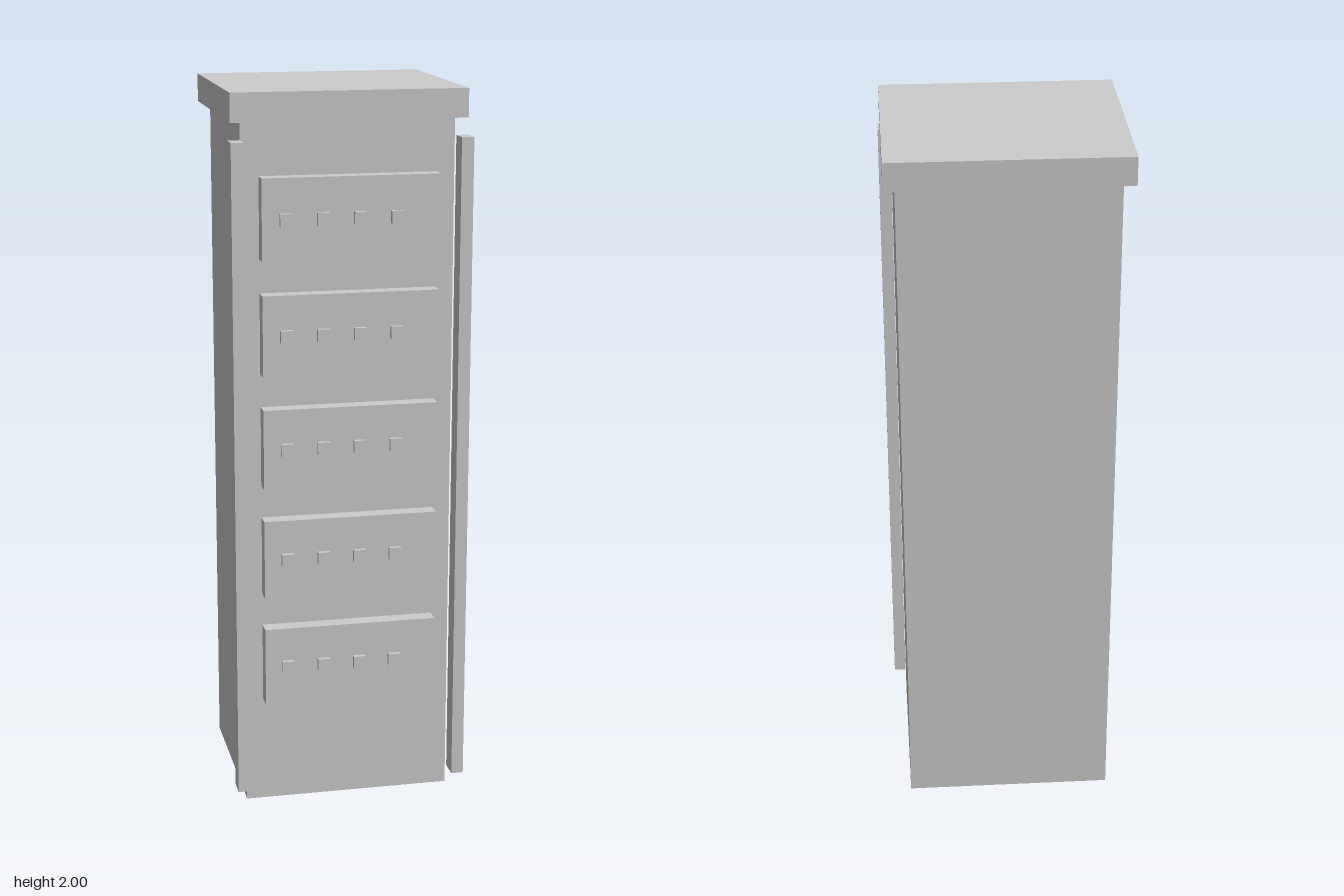
import * as THREE from 'three';

export function createModel() {
  const model = new THREE.Group();
  model.name = 'cabinet';
  const material = new THREE.MeshStandardMaterial({ color: 0xcccccc, flatShading: true });

  // Box given by its lower and upper limits on each axis
  function box(name, [x0, x1], [y0, y1], [z0, z1], parent = model) {
    const mesh = new THREE.Mesh(new THREE.BoxGeometry(x1 - x0, y1 - y0, z1 - z0), material);
    mesh.position.set((x0 + x1) / 2, (y0 + y1) / 2, (z0 + z1) / 2);
    mesh.name = name;
    parent.add(mesh);
    return mesh;
  }

  // Main cabinet and overhanging top
  box('cabinetBody', [-0.291, 0.291], [0, 1.922], [-0.277, 0.24]);
  box('topCap', [-0.321, 0.321], [1.922, 2], [-0.31, 0.268]);

  // Upright rails standing just ahead of the front corners
  box('leftRail', [0.292, 0.326], [0.055, 1.875], [0.252, 0.309]);
  box('rightRail', [-0.326, -0.292], [0.055, 1.875], [0.252, 0.309]);

  // Five front units, each with a row of four indicator blocks
  for (let i = 0; i < 5; i++) {
    const unit = new THREE.Group();
    unit.name = `frontUnit${i + 1}`;
    unit.position.y = 0.413 + i * 0.3135;
    model.add(unit);
    box('unitPanel', [-0.242, 0.242], [-0.111, 0.111], [0.235, 0.285], unit);
    for (let j = 0; j < 4; j++) {
      const x = -0.178 + j * 0.1007;
      box(`indicator${j + 1}`, [x - 0.017, x + 0.017], [-0.017, 0.017], [0.28, 0.298], unit);
    }
  }
  return model;
}
